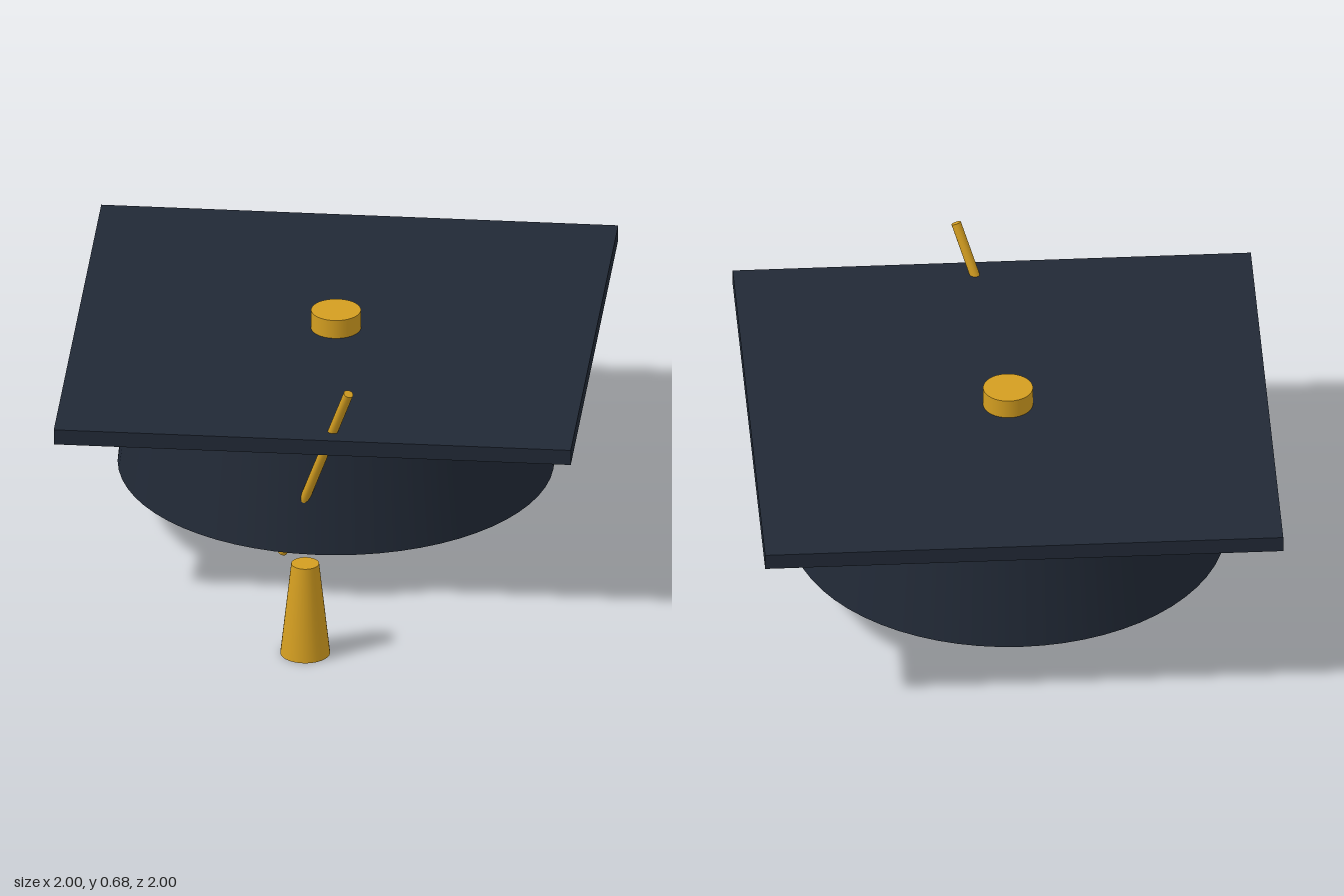
import * as THREE from 'three';

const navy = new THREE.MeshStandardMaterial({ color: 0x212936 });
const gold = new THREE.MeshStandardMaterial({ color: 0xd49e20 });

export function createModel() {
  const model = new THREE.Group();

  function add(name, geometry, material, x, y, z) {
    const mesh = new THREE.Mesh(geometry, material);
    mesh.name = name;
    mesh.position.set(x, y, z);
    model.add(mesh);
    return mesh;
  }

  // Skull cap, wider at the brim, closed top and bottom
  add('cap', new THREE.CylinderGeometry(0.55, 0.595, 0.344, 64), navy, 0, 0.312, 0);

  // Square board turned corner to the front, just above the cap
  const side = Math.SQRT2;
  add('board', new THREE.BoxGeometry(side, 0.044, side), navy, 0, 0.519, 0).rotation.y = Math.PI / 4;

  // Button at the centre of the board
  add('button', new THREE.CylinderGeometry(0.068, 0.068, 0.054, 32), gold, 0, 0.568, 0);

  // Slanted cord passing the edge of the board
  add('cord', new THREE.CylinderGeometry(0.0135, 0.0135, 0.646, 16), gold, 0.42, 0.388, 0.422).rotation.z = -0.45;

  // Tassel standing beside the cap
  add('tassel', new THREE.CylinderGeometry(0.038, 0.068, 0.27, 32), gold, 0.649, 0.135, 0.649);

  return model;
}
